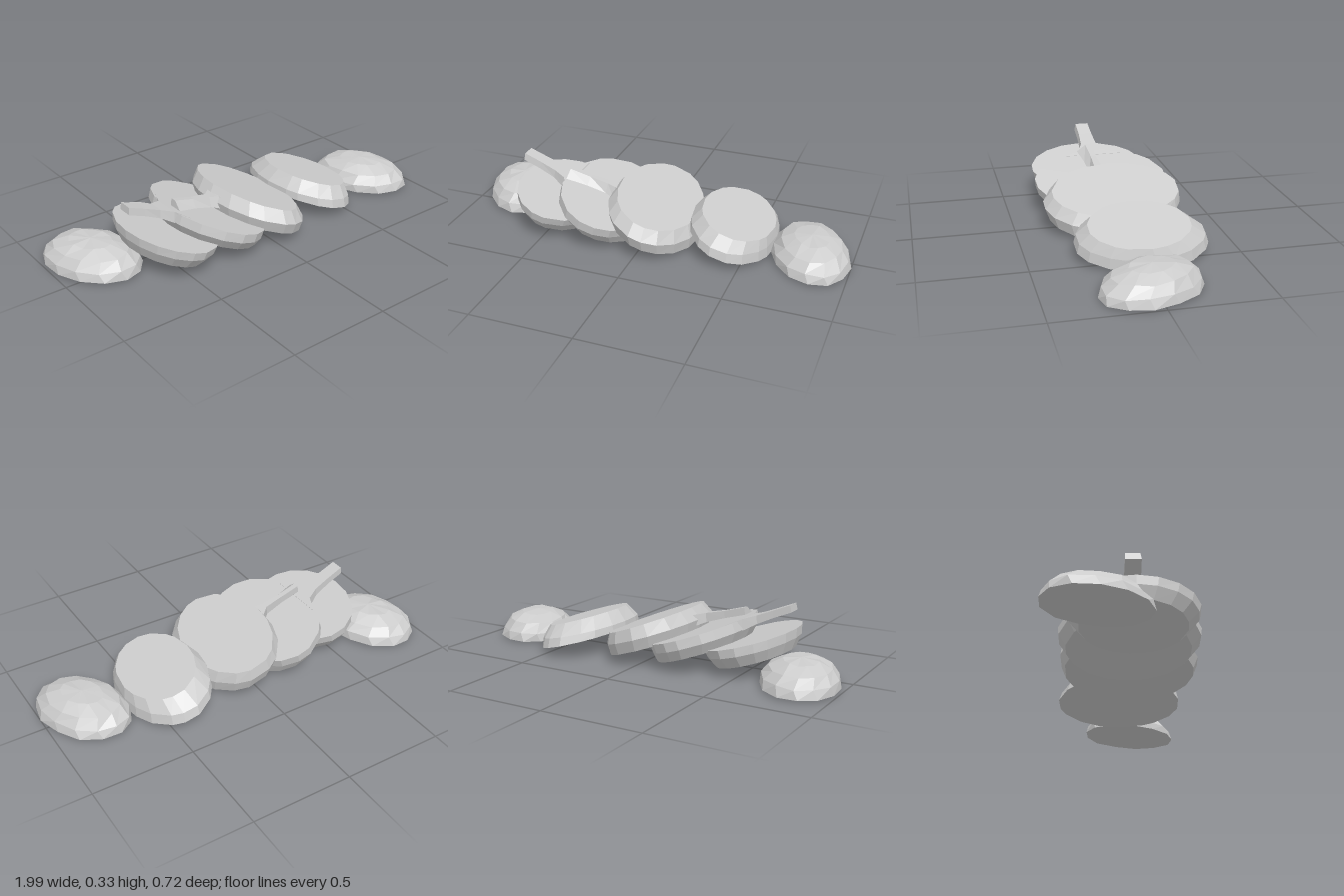
import * as THREE from 'three';

// Skin a stack of closed rings and close both ends with fans
function loft(rings) {
  const pos = [];
  const tri = (...pts) => pts.forEach((p) => pos.push(p.x, p.y, p.z));
  const centre = (r) => r.reduce((s, p) => s.add(p), new THREE.Vector3()).divideScalar(r.length);
  const n = rings[0].length;
  for (let k = 0; k < rings.length - 1; k++) {
    const lo = rings[k], hi = rings[k + 1];
    for (let i = 0; i < n; i++) {
      const j = (i + 1) % n;
      tri(lo[i], hi[i], lo[j]);
      tri(hi[i], hi[j], lo[j]);
    }
  }
  const bottom = rings[0], top = rings[rings.length - 1];
  const cb = centre(bottom), ct = centre(top);
  for (let i = 0; i < n; i++) {
    const j = (i + 1) % n;
    tri(cb, bottom[i], bottom[j]);
    tri(ct, top[j], top[i]);
  }
  const geo = new THREE.BufferGeometry();
  geo.setAttribute('position', new THREE.Float32BufferAttribute(pos, 3));
  geo.computeVertexNormals();
  return geo;
}

// Small seeded irregularity for a hand-cut look
function seeded(seed) {
  let s = seed;
  return () => (s = (s * 16807) % 2147483647) / 2147483647 - 0.5;
}

// Tilted oval ring from its left edge, right edge and z range
function ovalRing([xl, yl, xr, yr, z0, z1], wobble) {
  const n = wobble.length;
  return wobble.map((w, i) => {
    const a = ((i + w) / n) * Math.PI * 2;
    const t = 0.5 + 0.5 * Math.cos(a);
    return new THREE.Vector3(
      xl + (xr - xl) * t, yl + (yr - yl) * t,
      (z0 + z1) / 2 + ((z1 - z0) / 2) * Math.sin(a));
  });
}

// Slice: lower cut, bulging rind, upper cut
function sliceGeometry(levels, seed) {
  const rnd = seeded(seed);
  const wobble = Array.from({ length: 18 }, () => rnd() * 0.35);
  return loft(levels.map((l) => ovalRing(l, wobble)));
}

// Rounded end piece lying on its flat cut
function endGeometry(seed) {
  const rnd = seeded(seed), n = 13;
  const levels = [[1, 0], [0.95, 0.042], [0.76, 0.084], [0.44, 0.113], [0.02, 0.122]];
  return loft(levels.map(([r, y], k) => Array.from({ length: n }, (_, i) => {
    const a = ((i + (k % 2) * 0.2) / n) * Math.PI * 2;
    const q = r * (1 + rnd() * 0.05);
    return new THREE.Vector3(0.188 * q * Math.cos(a), y + (k % 4 ? rnd() * 0.01 : 0), 0.257 * q * Math.sin(a));
  })));
}

// Stem: stations of [x, top y, thickness, back z, front z, lower front z]
function stemGeometry(stations) {
  return loft(stations.map(([x, y, t, zb, zf, zl]) => [
    new THREE.Vector3(x, y, zf),
    new THREE.Vector3(x, y, zb),
    new THREE.Vector3(x - 0.005, y - t, zb),
    new THREE.Vector3(x - 0.005, y - t, zl),
  ]));
}

export function createModel() {
  const group = new THREE.Group();
  const grey = new THREE.MeshStandardMaterial({ color: 0xcccccc });
  grey.name = 'plain grey';

  const add = (name, geo) => {
    const mesh = new THREE.Mesh(geo, grey);
    mesh.name = name;
    group.add(mesh);
    return mesh;
  };

  // Overlapping slices, from the right end to the left end
  add('slice1', sliceGeometry([
    [-0.68, 0.11, -0.33, 0.01, -0.22, 0.28],
    [-0.70, 0.17, -0.29, 0.06, -0.265, 0.33],
    [-0.70, 0.215, -0.27, 0.095, -0.27, 0.34],
  ], 11));
  add('slice2', sliceGeometry([
    [-0.45, 0.14, -0.03, 0.002, -0.29, 0.31],
    [-0.475, 0.2, -0.01, 0.05, -0.325, 0.355],
    [-0.46, 0.245, 0.005, 0.09, -0.33, 0.36],
  ], 23));
  add('slice3', sliceGeometry([
    [-0.2, 0.145, 0.24, 0.002, -0.31, 0.335],
    [-0.21, 0.205, 0.25, 0.06, -0.335, 0.357],
    [-0.168, 0.26, 0.226, 0.118, -0.327, 0.315],
  ], 37));
  add('slice4', sliceGeometry([
    [0.195, 0.115, 0.62, 0.003, -0.36, 0.28],
    [0.2, 0.15, 0.618, 0.055, -0.345, 0.27],
    [0.253, 0.207, 0.607, 0.105, -0.27, 0.22],
  ], 53));

  // Rounded end pieces
  [['stemEndPiece', -0.794, -0.124, 71], ['tipEndPiece', 0.8, 0.015, 89]].forEach(([name, x, z, seed]) => {
    const end = add(name, endGeometry(seed));
    end.position.set(x, 0.01, z);
    end.rotation.y = 0.43;
  });

  // Cut stems flaring into the second and third slices
  add('longStem', stemGeometry([
    [-0.685, 0.333, 0.034, -0.008, 0.06, 0.066],
    [-0.6, 0.298, 0.034, -0.012, 0.058, 0.064],
    [-0.52, 0.266, 0.04, -0.02, 0.062, 0.066],
    [-0.46, 0.247, 0.055, -0.05, 0.085, 0.09],
    [-0.42, 0.233, 0.06, -0.14, 0.16, 0.16],
  ]));
  add('shortStem', stemGeometry([
    [-0.435, 0.285, 0.035, 0.025, 0.055, 0.1],
    [-0.33, 0.256, 0.035, 0.022, 0.048, 0.08],
    [-0.235, 0.236, 0.045, 0.012, 0.05, 0.07],
    [-0.19, 0.228, 0.055, -0.03, 0.06, 0.08],
    [-0.14, 0.225, 0.06, -0.08, 0.12, 0.13],
  ]));
  return group;
}
